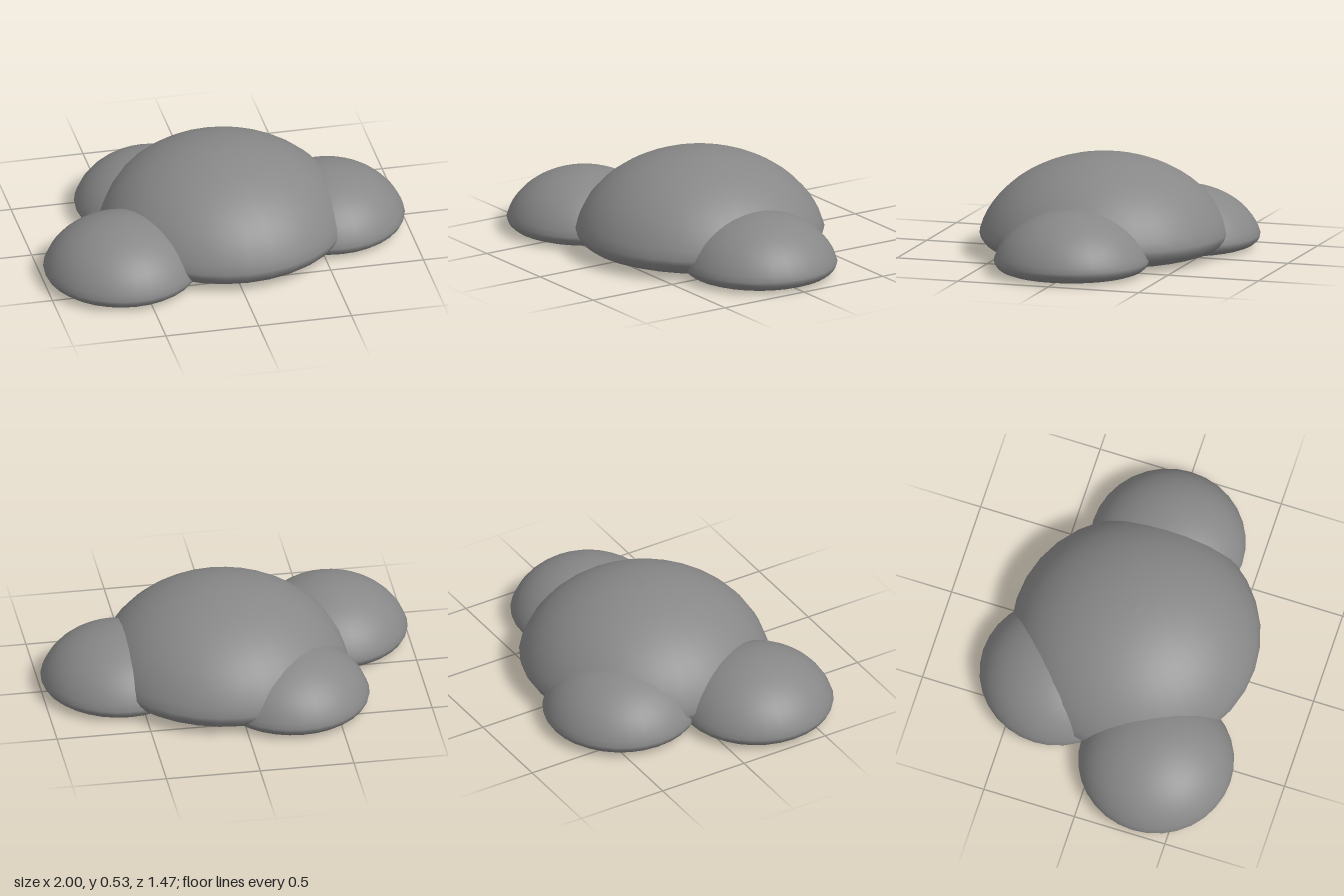
import * as THREE from 'three';

const material = new THREE.MeshStandardMaterial({ color: 0x888888 });

// Unit dome profile: slightly dished underside, soft rim, then an ellipse to the top
function domeGeometry() {
  const underside = [
    [0, 0.02], [0.2, 0.012], [0.42, 0], [0.6, 0.004], [0.74, 0.014],
    [0.83, 0.03], [0.895, 0.06], [0.94, 0.105], [0.967, 0.16],
  ];
  const points = underside.map(([r, y]) => new THREE.Vector2(r, y));
  const steps = 14, start = Math.asin(0.213);
  for (let i = 0; i <= steps; i++) {
    const a = start + (Math.PI / 2 - start) * (i / steps);
    points.push(new THREE.Vector2(i === steps ? 0 : Math.cos(a), Math.sin(a)));
  }
  return new THREE.LatheGeometry(points, 32);
}

export function createModel() {
  const group = new THREE.Group();
  group.name = 'moundCluster';
  const geometry = domeGeometry();

  function addDome(name, x, y, z, radius, height) {
    const mesh = new THREE.Mesh(geometry, material);
    mesh.name = name;
    mesh.position.set(x, y, z);
    mesh.scale.set(radius, height, radius);
    group.add(mesh);
  }

  // Large central mound, its underside just above the small ones
  addDome('mainMound', 0.03, 0.01, 0.008, 0.673, 0.522);

  // Three small mounds around it
  addDome('leftMound', 0.59, 0, 0.005, 0.42, 0.33);
  addDome('frontRightMound', -0.59, 0, 0.32, 0.42, 0.33);
  addDome('backRightMound', -0.28, 0, -0.325, 0.42, 0.33);

  return group;
}
